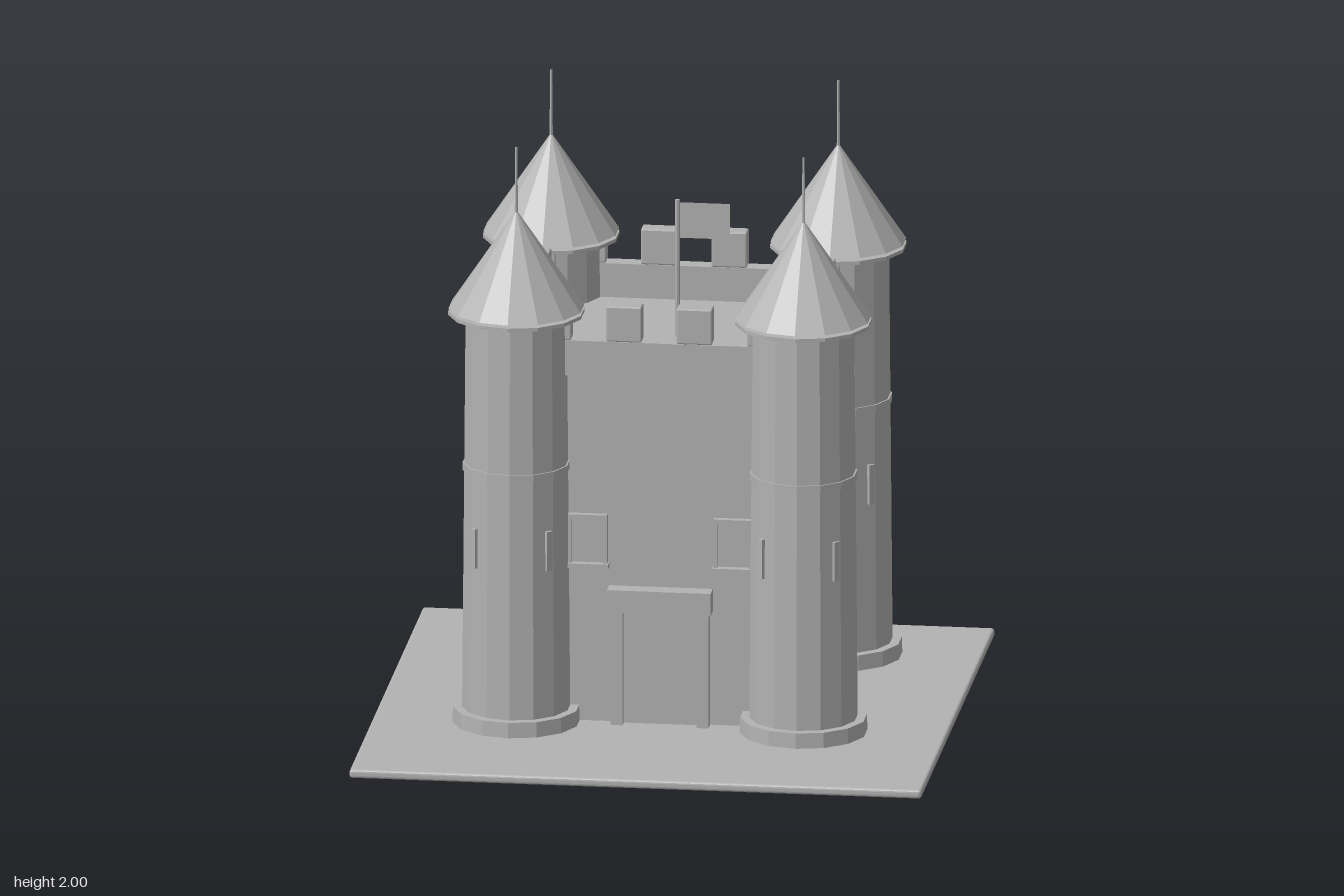
import * as THREE from 'three';
import { RoundedBoxGeometry } from 'three/addons/geometries/RoundedBoxGeometry.js';

export function createModel() {
  const castle = new THREE.Group();
  castle.name = 'castle';
  const stone = new THREE.MeshStandardMaterial({ color: 0xb2b2b2 });
  stone.name = 'grey stone';
  stone.flatShading = true;
  stone.side = THREE.DoubleSide;

  const SIDES = 14;
  const CZ = -0.138; // centre of the keep
  const TX = 0.477, TZ = 0.45; // tower offsets from the centre of the keep

  function add(parent, name, geometry, x, y, z) {
    const mesh = new THREE.Mesh(geometry, stone);
    mesh.name = name;
    mesh.position.set(x, y, z);
    parent.add(mesh);
    return mesh;
  }
  // Box given by its extents
  function block(parent, name, x0, x1, y0, y1, z0, z1) {
    return add(parent, name, new THREE.BoxGeometry(x1 - x0, y1 - y0, z1 - z0),
      (x0 + x1) / 2, (y0 + y1) / 2, (z0 + z1) / 2);
  }
  // Upright cylinder or cone given by its end heights
  function drum(parent, name, rTop, rBottom, y0, y1, sides = SIDES) {
    return add(parent, name, new THREE.CylinderGeometry(rTop, rBottom, y1 - y0, sides), 0, (y0 + y1) / 2, 0);
  }

  // Ground slab with softened edges
  add(castle, 'ground', new RoundedBoxGeometry(1.9, 0.03, 1.9, 2, 0.01), 0, 0.015, 0);

  // Corner towers
  for (const sx of [-1, 1]) for (const sz of [-1, 1]) {
    const tower = new THREE.Group();
    tower.name = (sz > 0 ? 'front' : 'back') + (sx > 0 ? 'Left' : 'Right') + 'Tower';
    tower.position.set(sx * TX, 0, CZ + sz * TZ);
    castle.add(tower);
    drum(tower, 'towerFoot', 0.21, 0.212, 0.025, 0.082);
    drum(tower, 'towerShaft', 0.168, 0.18, 0.03, 1.435);
    drum(tower, 'towerBand', 0.178, 0.178, 0.895, 0.922);
    drum(tower, 'roofRim', 0.226, 0.226, 1.43, 1.442);
    drum(tower, 'roofNeck', 0.12, 0.12, 1.44, 1.455);
    drum(tower, 'roof', 0, 0.225, 1.452, 1.785);
    drum(tower, 'spire', 0.004, 0.006, 1.76, 2.0, 6);
    // Arrow slits on the diagonals
    for (let i = 0; i < 4; i++) {
      const a = Math.PI / 4 + i * Math.PI / 2;
      const slit = add(tower, 'arrowSlit', new THREE.BoxGeometry(0.022, 0.135, 0.016),
        Math.sin(a) * 0.173, 0.653, Math.cos(a) * 0.173);
      slit.rotation.y = a;
    }
  }

  // Keep body
  const BX = 0.44, BZ = 0.42;
  block(castle, 'keep', -BX, BX, 0.02, 1.235, CZ - BZ, CZ + BZ);

  // Parapets with merlons on all four sides
  for (const s of [-1, 1]) {
    const z = CZ + s * TZ, x = s * (TX - 0.005);
    block(castle, 'parapet', -TX, TX, 1.23, 1.35, z - 0.031, z + 0.027);
    block(castle, 'sideParapet', x - 0.032, x + 0.032, 1.23, 1.35, CZ - TZ, CZ + TZ);
    for (const k of [-1.5, -0.5, 0.5, 1.5]) {
      add(castle, 'merlon', new RoundedBoxGeometry(0.118, 0.122, 0.058, 1, 0.005), k * 0.234, 1.411, z - 0.002);
      add(castle, 'sideMerlon', new RoundedBoxGeometry(0.064, 0.122, 0.118, 1, 0.005), x, 1.411, CZ + k * 0.225);
    }
  }

  // Flag on the roof
  const flagpole = drum(castle, 'flagpole', 0.008, 0.008, 1.22, 1.705, 8);
  flagpole.position.z = CZ;
  add(castle, 'flag', new THREE.PlaneGeometry(0.17, 0.122), 0.09, 1.635, CZ);

  // Door with posts and lintel
  const F = CZ + BZ; // front face of the keep
  const door = new THREE.Group();
  door.name = 'door';
  castle.add(door);
  block(door, 'doorPanel', -0.125, 0.125, 0.03, 0.425, F - 0.01, F + 0.012);
  block(door, 'lintel', -0.172, 0.172, 0.42, 0.497, F - 0.01, F + 0.06);
  for (const s of [-1, 1]) {
    add(door, 'doorPost', new THREE.BoxGeometry(0.04, 0.395, 0.05), s * 0.143, 0.225, F + 0.02);

    // Framed windows beside the towers
    const win = new THREE.Group();
    win.name = s > 0 ? 'leftWindow' : 'rightWindow';
    win.position.set(s * 0.242, 0, F);
    castle.add(win);
    block(win, 'pane', -0.055, 0.055, 0.575, 0.735, -0.005, 0.006);
    block(win, 'frameTop', -0.065, 0.065, 0.728, 0.742, -0.005, 0.022);
    block(win, 'sill', -0.07, 0.07, 0.56, 0.576, -0.005, 0.032);
    for (const t of [-1, 1]) {
      add(win, 'frameSide', new THREE.BoxGeometry(0.012, 0.16, 0.027), t * 0.059, 0.652, 0.0085);
    }
  }
  return castle;
}
